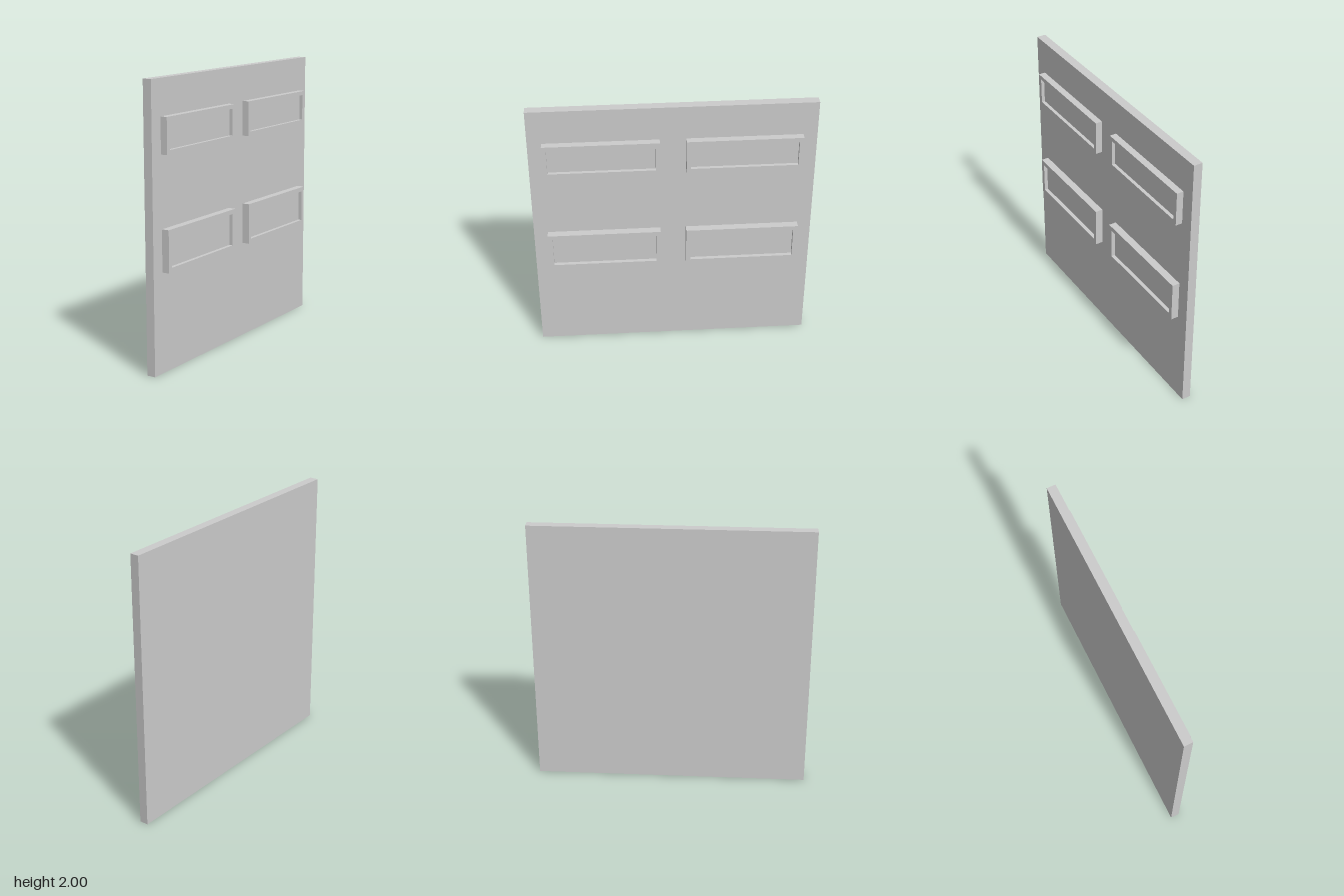
import * as THREE from 'three';

const material = new THREE.MeshStandardMaterial({ color: 0xcccccc, flatShading: true });
const FACE = 0.005; // x of the door's outer face

function box(name, x0, x1, y0, y1, z0, z1) {
  const mesh = new THREE.Mesh(new THREE.BoxGeometry(x1 - x0, y1 - y0, z1 - z0), material);
  mesh.position.set((x0 + x1) / 2, (y0 + y1) / 2, (z0 + z1) / 2);
  mesh.name = name;
  return mesh;
}

// Raised rectangular frame with a recessed panel, facing +x
function framedPanel(name, width, y0, y1, depth, border, zCentre) {
  const group = new THREE.Group();
  group.name = name;
  const h = y1 - y0;
  const rect = (Type, w, t) => new Type([
    new THREE.Vector2(-w / 2, -t / 2), new THREE.Vector2(w / 2, -t / 2),
    new THREE.Vector2(w / 2, t / 2), new THREE.Vector2(-w / 2, t / 2),
  ]);
  const shape = rect(THREE.Shape, width, h);
  shape.holes.push(rect(THREE.Path, width - 2 * border, h - 2 * border));
  const geometry = new THREE.ExtrudeGeometry(shape, { depth, bevelEnabled: false });
  geometry.rotateY(Math.PI / 2);
  const frame = new THREE.Mesh(geometry, material);
  frame.name = 'frame';
  frame.position.set(FACE, (y0 + y1) / 2, zCentre);

  const w = width / 2 - border;
  const panel = box('recessedPanel', FACE, FACE + depth / 2,
    y0 + border, y1 - border, zCentre - w, zCentre + w);
  group.add(frame, panel);
  return group;
}

export function createModel() {
  const model = new THREE.Group();
  model.name = 'panelledDoor';

  // Square slab
  model.add(box('slab', -0.06, FACE, 0, 2, -1, 1));

  // Two rows of framed panels, mirrored front to back
  for (const side of [1, -1]) {
    const end = side > 0 ? 'Front' : 'Back';
    model.add(framedPanel('upperPanel' + end, 0.81, 1.5, 1.75, 0.05, 0.03, side * 0.497));
    model.add(framedPanel('lowerPanel' + end, 0.81, 0.705, 1.0, 0.055, 0.033, side * 0.497));
  }
  return model;
}
